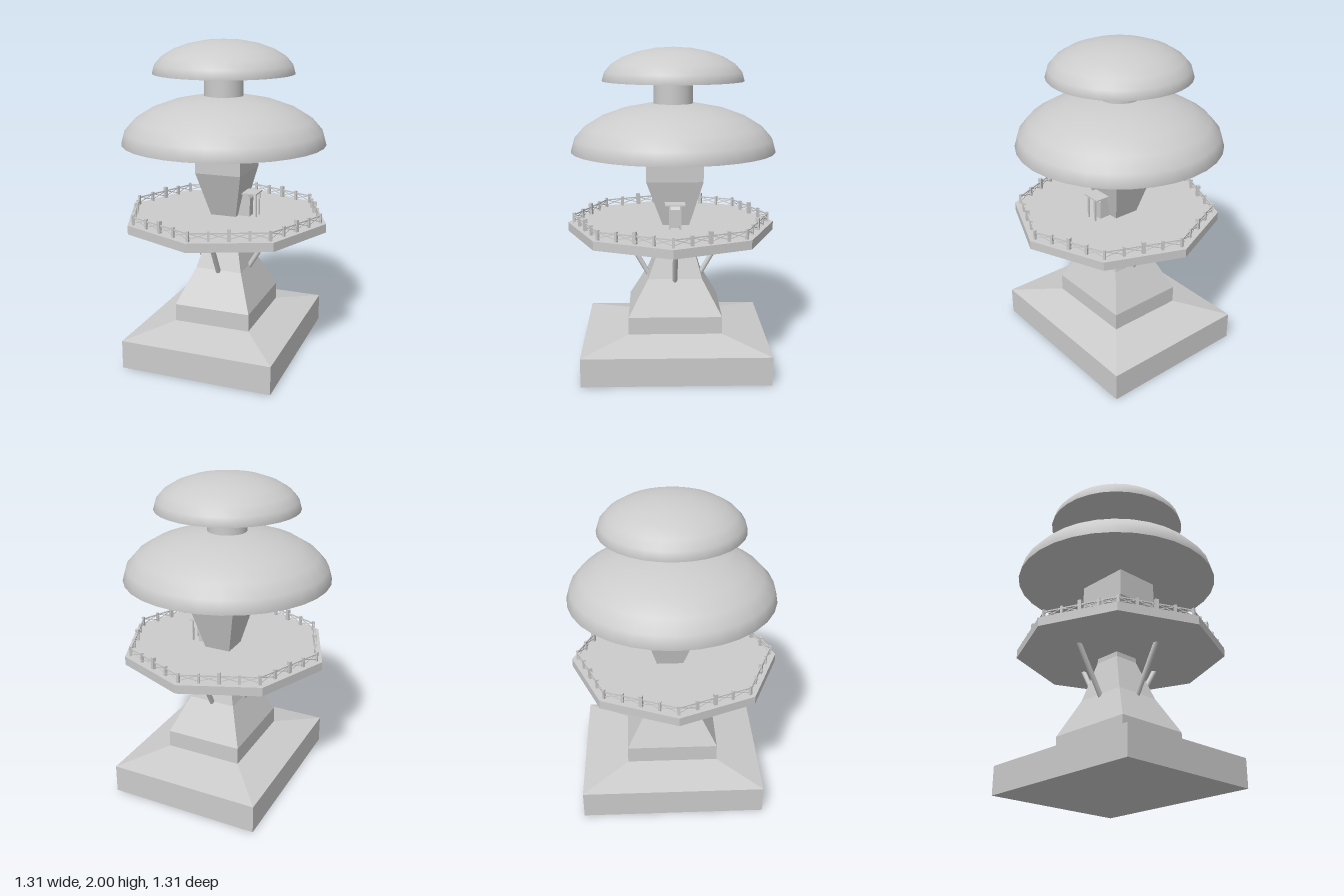
import * as THREE from 'three';

const material = new THREE.MeshStandardMaterial({ color: 0xcccccc });
const flatMaterial = new THREE.MeshStandardMaterial({ color: 0xcccccc, flatShading: true });

function add(parent, name, geometry, x = 0, y = 0, z = 0, mat = flatMaterial) {
  const mesh = new THREE.Mesh(geometry, mat);
  mesh.name = name;
  mesh.position.set(x, y, z);
  parent.add(mesh);
  return mesh;
}

// Rectangular loft through sections [y, xMin, xMax, zMin, zMax], listed upwards
function rectLoft(sections) {
  const rings = sections.map(([y, x0, x1, z0, z1]) => [[x0, y, z1], [x1, y, z1], [x1, y, z0], [x0, y, z0]]);
  const positions = [];
  const quad = (a, b, c, d) => positions.push(...a, ...b, ...c, ...a, ...c, ...d);
  for (let s = 0; s < rings.length - 1; s++) {
    for (let i = 0; i < 4; i++) {
      const j = (i + 1) % 4;
      quad(rings[s][i], rings[s][j], rings[s + 1][j], rings[s + 1][i]);
    }
  }
  quad(...[...rings[0]].reverse());
  quad(...rings[rings.length - 1]);
  const geometry = new THREE.BufferGeometry();
  geometry.setAttribute('position', new THREE.Float32BufferAttribute(positions, 3));
  geometry.computeVertexNormals();
  return geometry;
}

// Square bar between two points
function bar(parent, name, a, b, width) {
  const mesh = add(parent, name, new THREE.BoxGeometry(width, width, a.distanceTo(b)));
  mesh.position.copy(a).lerp(b, 0.5);
  mesh.lookAt(b);
}

// Round pole between two points
function pole(parent, name, a, b, radius, sides = 12) {
  const mesh = add(parent, name, new THREE.CylinderGeometry(radius, radius, a.distanceTo(b), sides), 0, 0, 0, material);
  mesh.position.copy(a).lerp(b, 0.5);
  mesh.quaternion.setFromUnitVectors(new THREE.Vector3(0, 1, 0), b.clone().sub(a).normalize());
}

// Half-ellipsoid canopy with a flat underside
function canopy(parent, name, radius, height, y) {
  const group = new THREE.Group();
  group.name = name;
  group.position.set(-0.02, y, -0.015);
  const dome = new THREE.SphereGeometry(radius, 32, 6, 0, Math.PI * 2, 0, Math.PI / 2);
  dome.scale(1, height / radius, 1);
  add(group, name + 'Dome', dome, 0, 0, 0, material);
  const disc = new THREE.CircleGeometry(radius, 32);
  disc.rotateX(Math.PI / 2);
  add(group, name + 'Underside', disc);
  parent.add(group);
}

export function createModel() {
  const model = new THREE.Group();
  model.name = 'treeTower';
  const v = (x, y, z) => new THREE.Vector3(x, y, z);

  // Stepped plinth
  add(model, 'base', rectLoft([
    [0, -0.48, 0.485, -0.605, 0.555],
    [0.18, -0.48, 0.485, -0.605, 0.555],
    [0.24, -0.24, 0.25, -0.315, 0.27],
  ]));

  // Waisted trunk
  add(model, 'trunk', rectLoft([
    [0.235, -0.24, 0.25, -0.315, 0.27],
    [0.35, -0.24, 0.25, -0.315, 0.27],
    [0.57, -0.147, 0.155, -0.193, 0.147],
    [0.82, -0.08, 0.085, -0.125, 0.052],
    [0.9, -0.08, 0.085, -0.112, 0.052],
    [1.19, -0.145, 0.15, -0.198, 0.155],
    [1.37, -0.145, 0.15, -0.198, 0.155],
  ]));

  // Domed foliage and the neck joining it
  canopy(model, 'lowerCanopy', 0.64, 0.3, 1.365);
  canopy(model, 'upperCanopy', 0.44, 0.205, 1.795);
  add(model, 'canopyNeck', new THREE.CylinderGeometry(0.122, 0.122, 0.16, 24), -0.02, 1.72, -0.015, material);

  // Octagonal deck, corners on the axes
  add(model, 'platform', new THREE.CylinderGeometry(0.655, 0.655, 0.055, 8), 0, 0.8775, 0);

  // Four diagonal struts under the deck
  const struts = new THREE.Group();
  struts.name = 'struts';
  for (const [dx, dz] of [[1, 0], [-1, 0], [0, 1], [0, -1]]) {
    pole(struts, 'strut',
      v(0.003 + dx * 0.142, 0.55, -0.022 + dz * 0.16),
      v(0.003 + dx * 0.33, 0.86, -0.022 + dz * 0.335), 0.016);
  }
  model.add(struts);

  // Railing: four bays per side with a top rail and crossed braces
  const railing = new THREE.Group();
  railing.name = 'railing';
  const corner = (i) => v(Math.sin(i * Math.PI / 4) * 0.617, 0, Math.cos(i * Math.PI / 4) * 0.617);
  const low = 0.917, high = 0.953, bays = 4;
  for (let side = 0; side < 8; side++) {
    const start = corner(side), end = corner(side + 1);
    const turn = (side + 0.5) * Math.PI / 4;
    for (let k = 0; k < bays; k++) {
      const p = start.clone().lerp(end, k / bays);
      const q = start.clone().lerp(end, (k + 1) / bays);
      const height = k === 2 ? 0.075 : 0.062;
      const width = k === 2 ? 0.022 : 0.016;
      const post = add(railing, 'railPost', new THREE.BoxGeometry(width, height, width), p.x, 0.905 + height / 2, p.z);
      post.rotation.y = k === 0 ? side * Math.PI / 4 : turn;
      bar(railing, 'topRail', v(p.x, high, p.z), v(q.x, high, q.z), 0.008);
      bar(railing, 'brace', v(p.x, low, p.z), v(q.x, high, q.z), 0.005);
      bar(railing, 'brace', v(p.x, high, p.z), v(q.x, low, q.z), 0.005);
    }
  }
  model.add(railing);

  // Small porch on the left side of the trunk
  const porch = new THREE.Group();
  porch.name = 'porch';
  add(porch, 'doorway', rectLoft([
    [0.9, 0.07, 0.165, -0.055, 0.013],
    [1.02, 0.07, 0.165, -0.055, 0.013],
    [1.045, 0.07, 0.15, -0.055, 0.013],
  ]));
  add(porch, 'porchRoof', new THREE.BoxGeometry(0.11, 0.008, 0.126), 0.16, 1.056, -0.022);
  for (const z of [-0.055, 0.011]) {
    add(porch, 'porchPost', new THREE.BoxGeometry(0.01, 0.15, 0.01), 0.205, 0.979, z);
  }
  model.add(porch);

  return model;
}
